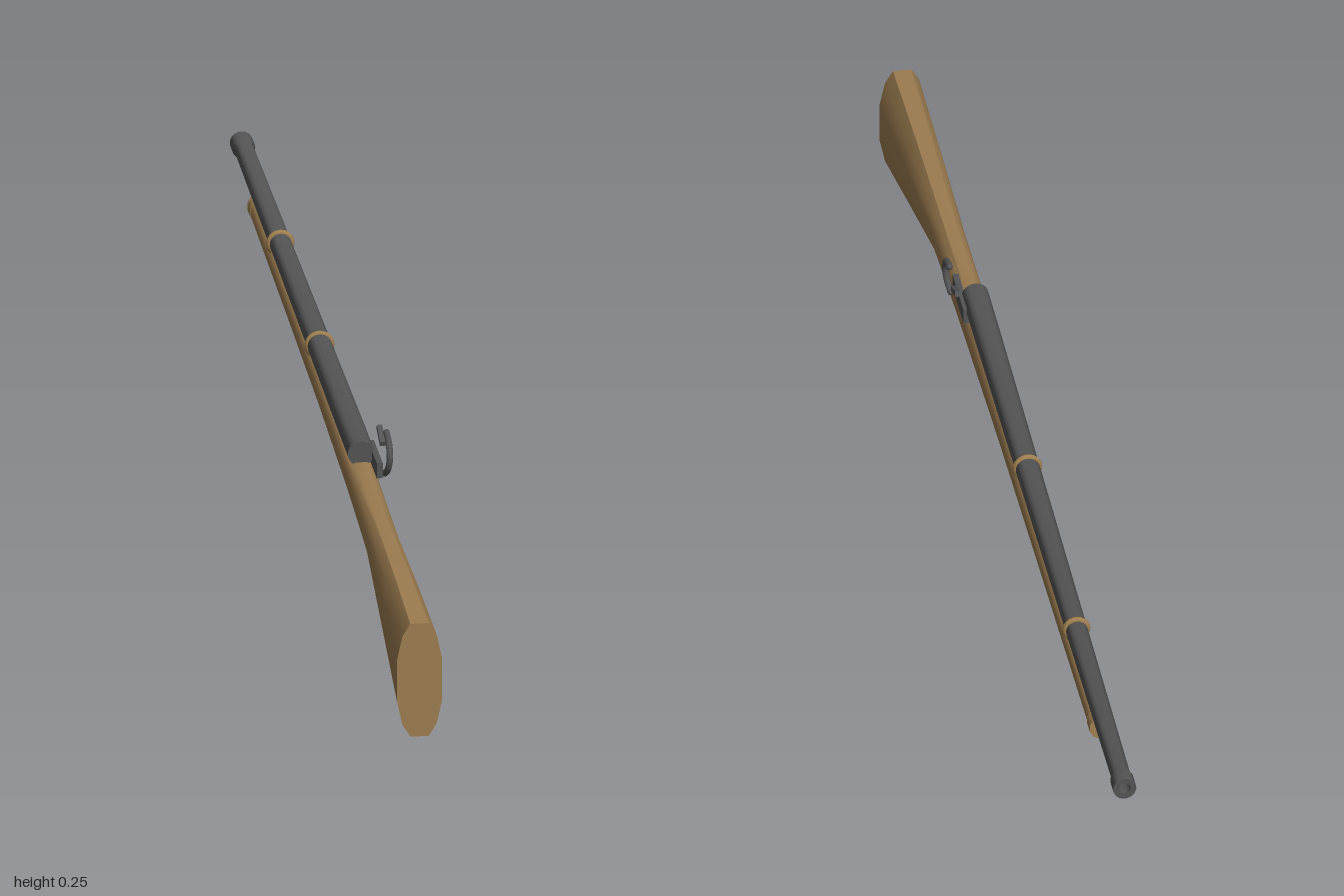
import * as THREE from 'three';
import { toCreasedNormals } from 'three/addons/utils/BufferGeometryUtils.js';

const CX = -0.003; // the gun's own centre line; the hammer sticks out on +x
const BARREL_Y = 0.208;

// Closed body lofted through rings of equal point count, from +z to -z
function loft(rings) {
  const n = rings[0].length, pos = [], idx = [];
  rings.forEach(r => r.forEach(p => pos.push(...p)));
  for (let i = 0; i < rings.length - 1; i++) {
    for (let j = 0; j < n; j++) {
      const k = (j + 1) % n;
      const a = i * n + j, b = i * n + k, c = b + n, d = a + n;
      idx.push(a, d, c, a, c, b);
    }
  }
  const last = (rings.length - 1) * n;
  for (let j = 1; j < n - 1; j++) {
    idx.push(0, j, j + 1, last, last + j + 1, last + j);
  }
  const g = new THREE.BufferGeometry();
  g.setAttribute('position', new THREE.Float32BufferAttribute(pos, 3));
  g.setIndex(idx);
  return toCreasedNormals(g, 0.7);
}

// Twelve-sided stock cross-section, counter-clockwise seen from +z
const HALF = [[0.41, 0], [0.76, 0.11], [1, 0.32], [1, 0.68], [0.76, 0.89], [0.41, 1]];
function stockRing([z, y0, y1, w]) {
  const right = HALF.map(([u, v]) => [CX + u * w, y0 + v * (y1 - y0), z]);
  const left = HALF.map(([u, v]) => [CX - u * w, y0 + v * (y1 - y0), z]).reverse();
  return [...right, ...left];
}

export function createModel() {
  const group = new THREE.Group();
  const wood = new THREE.MeshStandardMaterial({ color: 0x9c7c50 });
  const brass = new THREE.MeshStandardMaterial({ color: 0xa08050 });
  const steel = new THREE.MeshStandardMaterial({ color: 0x545454 });
  const add = (name, geometry, material, x = 0, y = 0, z = 0) => {
    const mesh = new THREE.Mesh(geometry, material);
    mesh.name = name;
    mesh.position.set(x, y, z);
    group.add(mesh);
    return mesh;
  };

  // Stock: z, bottom, top, half width
  add('stock', loft([
    [1, 0, 0.179, 0.034],
    [0.8, 0.058, 0.185, 0.029],
    [0.58, 0.12, 0.185, 0.023],
    [0.4, 0.135, 0.192, 0.022],
    [0.3, 0.142, 0.196, 0.022],
    [0, 0.153, 0.198, 0.02],
    [-0.3, 0.16, 0.199, 0.019],
    [-0.78, 0.167, 0.199, 0.017],
  ].map(stockRing)), wood);
  add('noseCap', loft([
    [-0.77, 0.165, 0.2, 0.018],
    [-0.795, 0.165, 0.2, 0.018],
  ].map(stockRing)), brass);

  // Barrel with muzzle ring and hollow bore; lathe axis turned to point to -z
  const profile = [
    [0, -0.345], [0.02, -0.345], [0.02, -0.25], [0.0145, 0.965], [0.0175, 0.975],
    [0.0175, 1], [0.009, 1], [0.009, 0.93], [0, 0.93],
  ].map(([r, l]) => new THREE.Vector2(r, l));
  const barrel = toCreasedNormals(new THREE.LatheGeometry(profile, 24), 0.6);
  add('barrel', barrel.rotateX(-Math.PI / 2), steel, CX, BARREL_Y, 0);

  // Barrel bands
  for (const [z, r] of [[-0.125, 0.0175], [-0.565, 0.0162]]) {
    add('barrelBand', new THREE.TorusGeometry(r, 0.005, 8, 24), brass, CX, BARREL_Y, z);
  }

  // Ramrod
  add('ramrod', new THREE.CylinderGeometry(0.004, 0.004, 0.23, 8).rotateX(Math.PI / 2),
    brass, CX, 0.174, -0.815);

  // Trigger guard, a bow hanging under the wrist
  const guard = new THREE.TorusGeometry(0.045, 0.004, 8, 20, Math.PI);
  guard.rotateZ(Math.PI).rotateY(Math.PI / 2).scale(1, 0.72, 1);
  add('triggerGuard', guard, brass, CX, 0.143, 0.385);

  // Lock plate on the left side of the breech
  add('lockPlate', new THREE.BoxGeometry(0.009, 0.024, 0.1), steel, 0.0175, 0.2, 0.35);

  // Hammer, a curved arm swept up and forward
  const arm = new THREE.CatmullRomCurve3([
    [0.027, 0.19, 0.385], [0.03, 0.202, 0.4], [0.032, 0.222, 0.405],
    [0.032, 0.24, 0.394], [0.032, 0.248, 0.366],
  ].map(p => new THREE.Vector3(...p)));
  add('hammer', new THREE.TubeGeometry(arm, 20, 0.005, 8), steel);
  for (const t of [0, 1]) {
    const p = arm.getPoint(t);
    add('hammerEnd', new THREE.SphereGeometry(0.005, 8, 6), steel, p.x, p.y, p.z);
  }

  // Frizzen, a small tilted plate ahead of the hammer
  const frizzen = add('frizzen', new THREE.BoxGeometry(0.008, 0.008, 0.04), steel, 0.029, 0.229, 0.328);
  frizzen.rotation.x = 0.35;

  return group;
}
